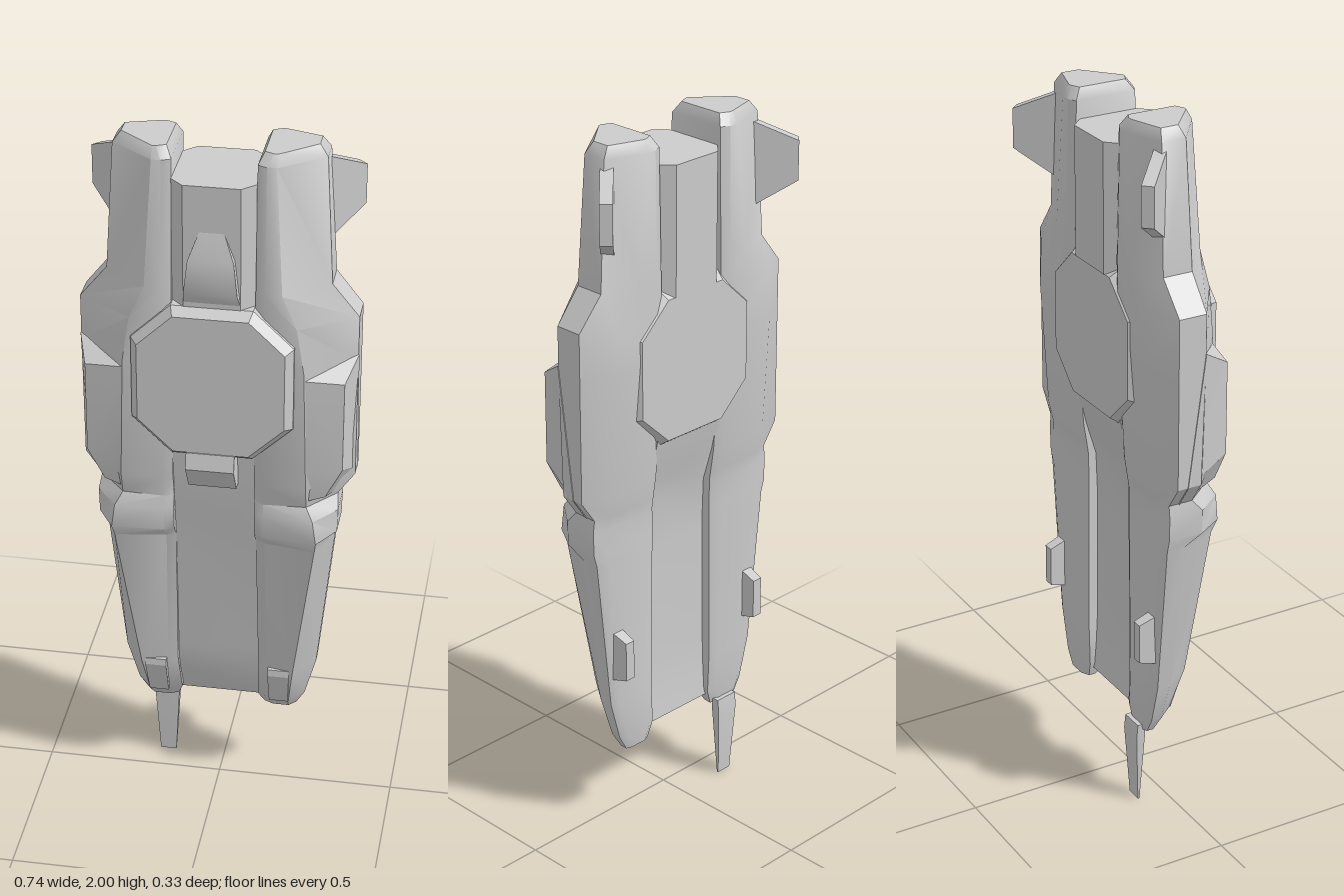
import * as THREE from 'three';
import { toCreasedNormals } from 'three/addons/utils/BufferGeometryUtils.js';

const grey = new THREE.MeshStandardMaterial({ color: 0xcccccc });

// Skin between cross-sections listed from top to bottom; side = -1 mirrors in x
function loft(rows, side = 1, crease = 0.6) {
  const n = rows[0].length, pos = [], idx = [];
  const tri = (a, b, c) => (side > 0 ? idx.push(a, b, c) : idx.push(a, c, b));
  rows.forEach(r => r.forEach(([x, y, z]) => pos.push(x * side, y, z)));
  for (let i = 0; i < rows.length - 1; i++)
    for (let j = 0; j < n; j++) {
      const k = (j + 1) % n, a = i * n, b = a + n;
      tri(a + j, b + j, b + k);
      tri(a + j, b + k, a + k);
    }
  const last = (rows.length - 1) * n;
  for (let j = 1; j < n - 1; j++) {
    tri(0, j, j + 1);
    tri(last, last + j + 1, last + j);
  }
  const g = new THREE.BufferGeometry();
  g.setAttribute('position', new THREE.Float32BufferAttribute(pos, 3));
  g.setIndex(idx);
  return toCreasedNormals(g, crease);
}

// Chamfered rectangle section, centred on x = 0
const chamfered = (y, w, zf, zb, c) => [
  [-w, y, zf - c], [-w + c, y, zf], [w - c, y, zf], [w, y, zf - c],
  [w, y, zb + c], [w - c, y, zb], [-w + c, y, zb], [-w, y, zb + c]];

const rect = (y, x0, x1, zf, zb) => [[x0, y, zf], [x1, y, zf], [x1, y, zb], [x0, y, zb]];

// Side hull section: inner wall, front ridge, outer wall, back
const hullSection = ([y, xi, zi, xf, zf, xo, zm, zr, xb, zb]) => [
  [xi, y, zi - 0.012], [xi + 0.025, y, zi], [xf, y, zf], [xo, y, zm],
  [xo, y, zr], [xb, y, zb], [xi + 0.025, y, zb], [xi, y, zb + 0.012]];

const hullRows = [
  [2.00, 0.125, 0.07, 0.16, 0.07, 0.255, -0.01, -0.06, 0.16, -0.09],
  [1.97, 0.11, 0.09, 0.16, 0.088, 0.277, 0, -0.07, 0.16, -0.108],
  [1.62, 0.11, 0.108, 0.18, 0.105, 0.297, 0.01, -0.075, 0.19, -0.115],
  [1.53, 0.11, 0.11, 0.22, 0.11, 0.37, 0.01, -0.07, 0.28, -0.115],
  [1.40, 0.11, 0.11, 0.24, 0.11, 0.37, 0.01, -0.07, 0.29, -0.115],
  [1.05, 0.11, 0.11, 0.25, 0.108, 0.37, 0, -0.07, 0.29, -0.095],
  [0.985, 0.11, 0.095, 0.25, 0.09, 0.325, 0, -0.07, 0.28, -0.085],
  [0.95, 0.11, 0.105, 0.27, 0.108, 0.33, 0.03, -0.07, 0.29, -0.08],
  [0.88, 0.11, 0.10, 0.28, 0.108, 0.328, 0.03, -0.07, 0.29, -0.08],
  [0.845, 0.11, 0.07, 0.275, 0.092, 0.318, -0.02, -0.07, 0.29, -0.08],
  [0.40, 0.115, 0.035, 0.215, 0.05, 0.272, -0.03, -0.07, 0.25, -0.08],
  [0.28, 0.11, 0, 0.20, 0.01, 0.24, -0.04, -0.07, 0.22, -0.08],
  [0.235, 0.125, -0.03, 0.195, -0.03, 0.215, -0.05, -0.07, 0.20, -0.076]];

// Wedge pod on the flank of each hull
const podRows = [
  [[0.24, 1.38, 0.108], [0.345, 1.37, 0.09], [0.372, 1.42, 0.01], [0.30, 1.42, -0.04]],
  [[0.24, 1.10, 0.108], [0.345, 1.11, 0.09], [0.372, 1.05, -0.04], [0.30, 1.05, -0.05]],
  [[0.24, 1.00, 0.09], [0.30, 1.02, 0.085], [0.325, 0.98, -0.04], [0.30, 0.98, -0.05]]];

export function createModel() {
  const model = new THREE.Group();
  const add = (name, geometry) => {
    const m = new THREE.Mesh(geometry, grey);
    m.name = name;
    model.add(m);
    return m;
  };

  // Octagonal core through the whole body, with bevelled rims
  const half = [[0.1, 1.16], [0.195, 1.25], [0.195, 1.47], [0.1, 1.56]];
  const oct = [...half, ...half.map(([x, y]) => [-x, y]).reverse()];
  const core = new THREE.ExtrudeGeometry(
    new THREE.Shape(oct.map(p => new THREE.Vector2(...p))),
    { depth: 0.211, bevelThickness: 0.028, bevelSize: 0.02, bevelSegments: 1 });
  add('octagonCore', core.translate(0, 0, -0.092));

  // Block between the upper hulls and the hump on its front
  add('upperBlock', loft([1.92, 1.56].map(y => chamfered(y, 0.11, 0.12, -0.122, 0.035))));
  add('frontHump', loft([
    rect(1.80, -0.03, 0.03, 0.118, 0.1), rect(1.72, -0.06, 0.06, 0.14, 0.1),
    rect(1.63, -0.07, 0.07, 0.146, 0.1), rect(1.59, -0.075, 0.075, 0.118, 0.1)], 1, 0.9));

  // Recessed channel floor between the lower hulls
  add('channelFloor', loft([
    [1.16, 0.10, -0.10], [1.05, 0.088, -0.075], [0.95, 0.075, -0.045], [0.8, 0.05, -0.04],
    [0.45, 0.012, -0.04], [0.36, 0, -0.045], [0.265, -0.035, -0.055],
  ].map(([y, f, b]) => rect(y, -0.12, 0.12, f, b))));

  // Latch under the octagon
  add('latch', loft([
    rect(1.16, -0.065, 0.065, 0.15, 0.08), rect(1.115, -0.065, 0.065, 0.162, 0.08),
    rect(1.04, -0.065, 0.065, 0.115, 0.07)], 1, 0.3));

  // Tapered rod at the bottom of the right hull
  add('antenna', loft([
    rect(0.25, -0.2, -0.13, -0.068, -0.09), rect(0.21, -0.2, -0.13, -0.068, -0.094),
    rect(0, -0.188, -0.142, -0.078, -0.083)], 1, 0.3));

  const finShape = new THREE.Shape(
    [[0, 1.71], [0.127, 1.785], [0.127, 1.895], [0, 1.95]].map(p => new THREE.Vector2(...p)));

  for (const side of [1, -1]) {
    const label = side > 0 ? 'left' : 'right';
    add(label + 'Hull', loft(hullRows.map(hullSection), side));
    add(label + 'Pod', loft(podRows, side, 0.3));

    // Foot pad at the lower end of the hull
    add(label + 'FootPad', loft([
      rect(0.41, 0.145, 0.205, 0.05, -0.02), rect(0.39, 0.145, 0.205, 0.052, -0.02),
      rect(0.28, 0.145, 0.2, 0.014, -0.04)], side, 0.3));

    // Swept fin at the top
    const fin = new THREE.ExtrudeGeometry(finShape, { depth: 0.034, bevelEnabled: false });
    fin.translate(0, 0, -0.017).rotateY(side > 0 ? Math.PI / 4 : Math.PI * 0.75);
    add(label + 'Fin', fin.translate(side * 0.26, 0, -0.062));

    // Small tab on the back
    add(label + 'RearTab', loft([
      [[0.235, 0.63, -0.07], [0.27, 0.63, -0.07], [0.265, 0.61, -0.124], [0.235, 0.61, -0.124]],
      [[0.235, 0.48, -0.07], [0.27, 0.48, -0.07], [0.265, 0.495, -0.124], [0.235, 0.495, -0.124]],
    ], side, 0.3));
  }
  return model;
}
